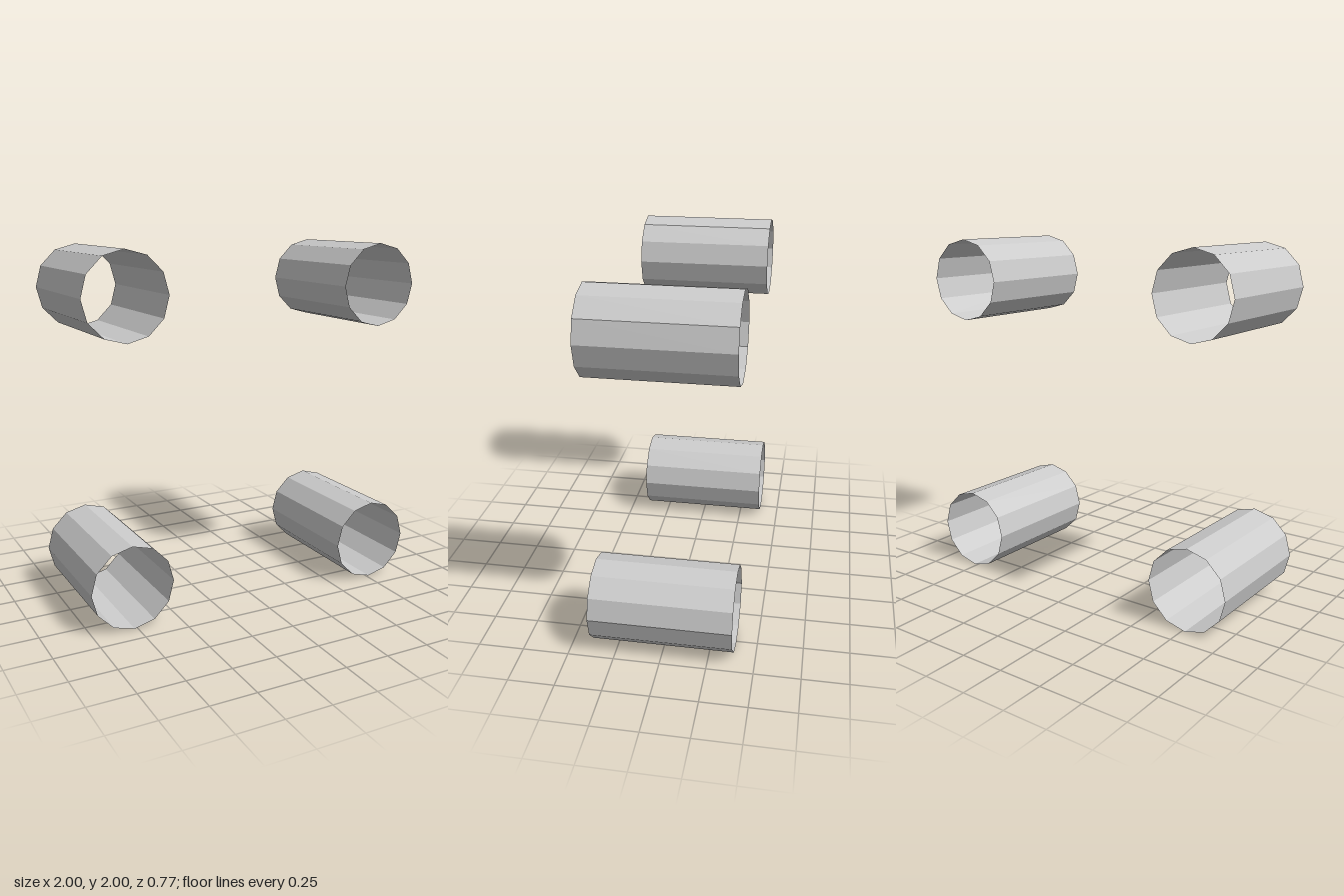
import * as THREE from 'three';

const RADIUS = 0.233;
const LENGTH = 0.77;

export function createModel() {
  const group = new THREE.Group();
  const material = new THREE.MeshStandardMaterial({
    color: 0xcccccc, flatShading: true, side: THREE.DoubleSide,
  });

  // Thin open twelve-sided tube lying along z
  const tube = new THREE.CylinderGeometry(RADIUS, RADIUS, LENGTH, 12, 1, true);
  tube.rotateX(Math.PI / 2);

  // One tube at each corner of a square
  const offset = 1 - RADIUS;
  for (const [side, sx] of [['left', 1], ['right', -1]]) {
    for (const [level, sy] of [['Upper', 1], ['Lower', -1]]) {
      const mesh = new THREE.Mesh(tube, material);
      mesh.name = `${side}${level}Tube`;
      mesh.position.set(sx * offset, 1 + sy * offset, 0);
      group.add(mesh);
    }
  }
  return group;
}
